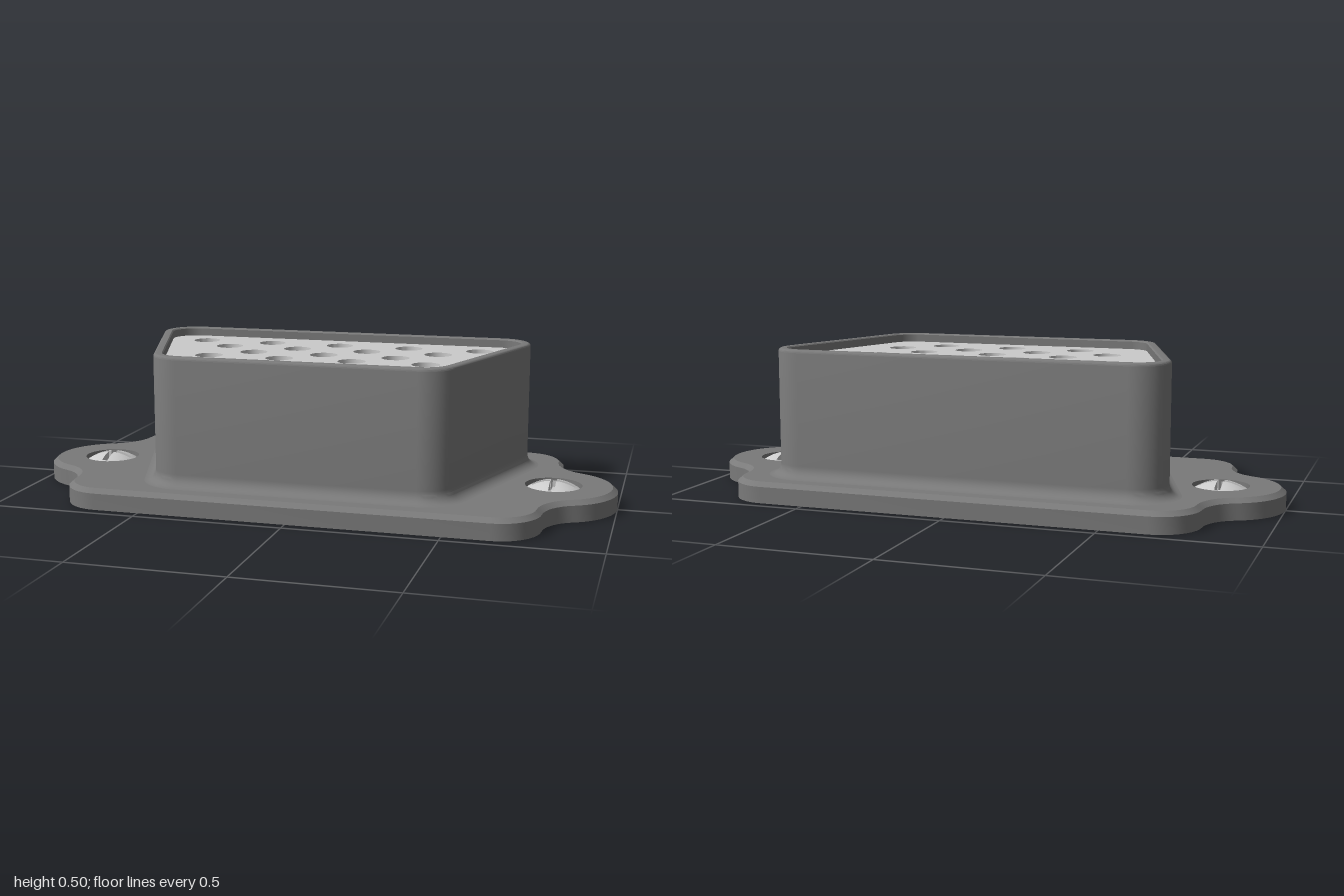
import * as THREE from 'three';
import { toCreasedNormals, mergeGeometries } from 'three/addons/utils/BufferGeometryUtils.js';
import { ParametricGeometry } from 'three/addons/geometries/ParametricGeometry.js';

const { PI, sin, cos, asin, atan2, sqrt } = Math;
const dark = new THREE.MeshStandardMaterial({ color: 0x7a7a7a });
const pale = new THREE.MeshStandardMaterial({ color: 0xcccccc });
const CREASE = 0.5;

// Points on an arc; "inner" leaves out both ends where neighbours share them
function arc(cx, cy, r, a0, a1, n = 10, inner = false) {
  const pts = [];
  for (let k = inner ? 1 : 0; k <= (inner ? n - 1 : n); k++) {
    const a = a0 + (a1 - a0) * k / n;
    pts.push(new THREE.Vector2(cx + r * cos(a), cy + r * sin(a)));
  }
  return pts;
}

// Outlines lie in x and -z, counter-clockwise seen from above
// Flange with two rounded ears, shrunk by d
function flangeOutline(d) {
  const s = 0.323, q = 0.1434, ear = 0.79, phi = atan2(s, q);
  const half = [
    ...arc(0.65, -s, 0.14 - d, -PI / 2, 0),
    ...arc(ear + q, -s, q + d, PI, PI - phi, 8, true),
    ...arc(ear, 0, 0.21 - d, -phi, phi, 24),
    ...arc(ear + q, s, q + d, PI + phi, PI, 8, true),
    ...arc(0.65, s, 0.14 - d, 0, PI / 2),
  ];
  return [...half, ...half.map(p => p.clone().negate())];
}

// Rounded trapezoid with corner radius r
function shellOutline(r) {
  const back = 0.56, front = 0.4, s = 0.247, t = atan2(back - front, 2 * s);
  return [
    ...arc(back, s, r, -t, PI / 2),
    ...arc(-back, s, r, PI / 2, PI + t),
    ...arc(-front, -s, r, PI + t, 1.5 * PI),
    ...arc(front, -s, r, 1.5 * PI, 2 * PI - t),
  ];
}

// Skin joining closed outlines, each given as [points, height]
function loft(rings) {
  const n = rings[0][0].length, pos = [], idx = [];
  for (const [pts, y] of rings) for (const p of pts) pos.push(p.x, y, -p.y);
  for (let i = 0; i < rings.length - 1; i++) {
    for (let j = 0; j < n; j++) {
      const a = i * n + j, b = i * n + (j + 1) % n;
      idx.push(a, b, a + n, b, b + n, a + n);
    }
  }
  const g = new THREE.BufferGeometry();
  g.setAttribute('position', new THREE.Float32BufferAttribute(pos, 3));
  g.setIndex(idx);
  return toCreasedNormals(g, CREASE);
}

function shapeWithHoles(pts, holes, r) {
  const shape = new THREE.Shape(pts);
  for (const [x, y] of holes) shape.holes.push(new THREE.Path().absarc(x, y, r, 0, 2 * PI, true));
  return shape;
}

const flat = (shape, y) => new THREE.ShapeGeometry(shape, 16).rotateX(-PI / 2).translate(0, y, 0);

function lathe(pts) {
  return toCreasedNormals(new THREE.LatheGeometry(pts.map(p => new THREE.Vector2(...p)), 40), CREASE);
}

function add(parent, name, geometry, material) {
  const mesh = new THREE.Mesh(geometry, material);
  mesh.name = name;
  parent.add(mesh);
}

// Domed screw head with a cross recess, in its pocket
function makeScrew(name, x) {
  const g = new THREE.Group();
  g.name = name;
  g.position.x = x;
  const base = 0.03, floor = 0.045, w = 0.01, end = 0.07, rim = 0.087;
  const dome = r => 0.086 - r * r / 0.265;
  add(g, 'screwPocket', lathe([[0.094, 0.07], [0.094, base], [0, base]]), dark);
  add(g, 'screwRim', lathe([[rim, base], [rim, dome(rim)], [0.079, dome(0.079)], [end, dome(end)],
    [end, floor], [0, floor]]), pale);
  // Four domed quarters with skirts that form the recess walls
  const rows = 10;
  for (let k = 0; k < 4; k++) {
    const quarter = new ParametricGeometry((u, v, out) => {
      const r = w * sqrt(2) + (end - w * sqrt(2)) * u;
      const edge = asin(w / r);
      const f = Math.min(1, Math.max(0, (v * rows - 1) / (rows - 2)));
      const a = edge + (PI / 2 - 2 * edge) * f + k * PI / 2;
      const skirt = v < 0.5 / rows || v > 1 - 0.5 / rows;
      out.set(r * cos(a), skirt ? floor : dome(r), -r * sin(a));
    }, 6, rows);
    add(g, 'screwQuarter', toCreasedNormals(quarter, CREASE), pale);
  }
  return g;
}

export function createModel() {
  const model = new THREE.Group();
  model.name = 'connector';
  const screws = [[0.79, 0], [-0.79, 0]];

  // Flange: chamfered plate with two screw openings and a closed underside
  const flange = new THREE.Group();
  flange.name = 'flange';
  model.add(flange);
  add(flange, 'flangeEdge', loft([[flangeOutline(0), 0], [flangeOutline(0), 0.055],
    [flangeOutline(0.017), 0.07]]), dark);
  add(flange, 'flangeTop', flat(shapeWithHoles(flangeOutline(0.017), screws, 0.094), 0.07), dark);
  add(flange, 'flangeBottom', new THREE.ShapeGeometry(new THREE.Shape(flangeOutline(0))).rotateX(PI / 2), dark);

  // Shell: flared foot, straight wall, softened rim, inner wall
  const R = 0.11, foot = 0.04, soft = 0.01, inside = 0.078;
  const profile = [];
  for (let k = 0; k <= 6; k++) {
    const a = k / 6 * PI / 2;
    profile.push([R + foot * (1 - sin(a)), 0.07 + foot * (1 - cos(a))]);
  }
  for (let k = 0; k <= 4; k++) {
    const a = k / 4 * PI / 2;
    profile.push([R - soft * (1 - cos(a)), 0.5 - soft * (1 - sin(a))]);
  }
  profile.push([inside + 0.004, 0.5], [inside, 0.496], [inside, 0.36]);
  add(model, 'shell', loft(profile.map(([r, y]) => [shellOutline(r), y])), dark);

  // Insert: rows of blind contact holes
  const rowsOfHoles = [
    [0.217, 5], [0.11, 4], [0.003, 3], [-0.104, 4], [-0.211, 3],
  ];
  const holes = rowsOfHoles.flatMap(([s, n]) =>
    Array.from({ length: n }, (_, i) => [(i - (n - 1) / 2) * 0.25, s]));
  const depth = 0.1, top = 0.47;
  const block = new THREE.ExtrudeGeometry(shapeWithHoles(shellOutline(inside), holes, 0.047),
    { depth, bevelEnabled: false, curveSegments: 14 });
  block.rotateX(-PI / 2).translate(0, top - depth, 0);
  const holeFloor = flat(new THREE.Shape(shellOutline(inside)), top - depth + 0.001).toNonIndexed();
  add(model, 'contactInsert', mergeGeometries([toCreasedNormals(block, CREASE), holeFloor]), pale);

  model.add(makeScrew('leftScrew', 0.79), makeScrew('rightScrew', -0.79));
  return model;
}
